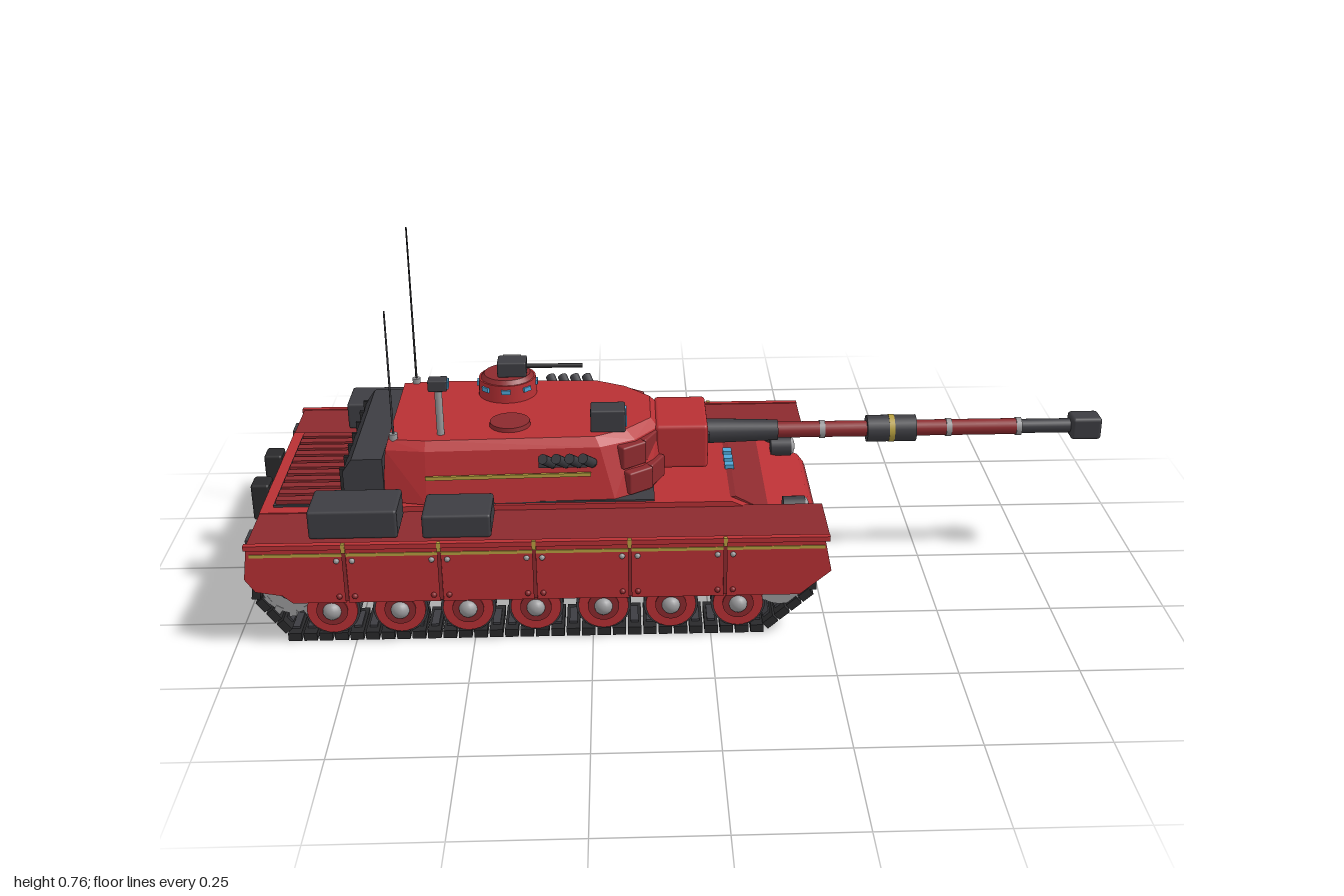
import * as THREE from 'three';
import { ConvexGeometry } from 'three/addons/geometries/ConvexGeometry.js';
import { RoundedBoxGeometry } from 'three/addons/geometries/RoundedBoxGeometry.js';

const paint = (name, color) => {
  const m = new THREE.MeshStandardMaterial({ color });
  m.name = name;
  return m;
};

export function createModel() {
  const red = paint('red paint', 0xb83034);
  const darkRed = paint('dark red paint', 0x8c2a2e);
  const charcoal = paint('charcoal', 0x3d3d42);
  const black = paint('black rubber', 0x29292b);
  const grey = paint('grey steel', 0x9a9a9c);
  const glass = paint('blue glass', 0x4fa6d6);
  const gold = paint('gold trim', 0xb8a040);

  const tank = new THREE.Group();
  tank.name = 'tank';
  const sides = [1, -1];

  const add = (name, geo, mat, x = 0, y = 0, z = 0, parent = tank) => {
    const mesh = new THREE.Mesh(geo, mat);
    mesh.name = name;
    mesh.position.set(x, y, z);
    parent.add(mesh);
    return mesh;
  };
  // box given by its lower and upper corners
  const span = (name, mat, x0, x1, y0, y1, z0, z1, r = 0) => {
    const s = [x1 - x0, y1 - y0, Math.abs(z1 - z0)];
    const geo = r ? new RoundedBoxGeometry(...s, 2, r) : new THREE.BoxGeometry(...s);
    return add(name, geo, mat, (x0 + x1) / 2, (y0 + y1) / 2, (z0 + z1) / 2);
  };
  const cylX = (name, mat, x0, x1, r, y, z = 0, r2 = r) =>
    add(name, new THREE.CylinderGeometry(r2, r, x1 - x0, 24).rotateZ(-Math.PI / 2), mat, (x0 + x1) / 2, y, z);
  const cylY = (name, mat, x, z, y0, y1, r, r2 = r) =>
    add(name, new THREE.CylinderGeometry(r2, r, y1 - y0, 24), mat, x, (y0 + y1) / 2, z);
  // side profile extruded across z
  const slab = (name, mat, pts, z0, z1) => {
    const shape = new THREE.Shape(pts.map(p => new THREE.Vector2(...p)));
    const geo = new THREE.ExtrudeGeometry(shape, { depth: z1 - z0, bevelEnabled: false });
    return add(name, geo, mat, 0, 0, z0);
  };

  // hull
  slab('hull', red, [[-0.85, 0.073], [0.13, 0.073], [0.25, 0.148], [0.235, 0.168], [0.05, 0.254],
    [-0.72, 0.254], [-0.74, 0.244], [-0.955, 0.244], [-0.96, 0.15]], -0.207, 0.207);
  slab('glacisPlate', darkRed, [[0.24, 0.152], [0.25, 0.152], [0.06, 0.255], [0.048, 0.254]], -0.185, 0.185);
  for (const z of [-0.036, 0, 0.036]) span('driverPeriscope', glass, 0.045, 0.065, 0.253, 0.263, z - 0.011, z + 0.011);
  for (const s of sides) {
    cylX('headlightShell', charcoal, 0.165, 0.213, 0.023, 0.214, s * 0.157);
    const lens = add('headlight', new THREE.SphereGeometry(0.021, 20, 12), grey, 0.212, 0.214, s * 0.157);
    lens.scale.x = 0.5;
    const hook = add('towHook', new THREE.TorusGeometry(0.018, 0.006, 8, 20), grey, 0.19, 0.1, s * 0.121);
    hook.scale.y = 1.1;
    const rearHook = add('rearHook', new THREE.TorusGeometry(0.016, 0.006, 8, 20), grey, -0.93, 0.115, s * 0.121);
    rearHook.scale.y = 1.1;
    span('exhaust', black, -0.995, -0.955, 0.172, 0.257, s * 0.05, s * 0.1, 0.006);
    span('tailLamp', charcoal, -0.968, -0.95, 0.2, 0.228, s * 0.25, s * 0.3);
  }

  // engine deck grille
  span('grilleBed', charcoal, -0.93, -0.715, 0.24, 0.249, -0.18, 0.18);
  for (let i = 0; i < 11; i++) {
    const z = -0.165 + i * 0.033;
    span('grilleSlat', darkRed, -0.925, -0.72, 0.246, 0.258, z - 0.011, z + 0.011);
  }

  // fenders, skirts and stowage
  const skirtX = [-0.955, -0.757, -0.562, -0.367, -0.17, 0.028];
  for (const s of sides) {
    span('fender', darkRed, -0.955, 0.245, 0.234, 0.242, s * 0.2, s * 0.348);
    span('fenderRail', red, -0.96, 0.245, 0.233, 0.244, s * 0.343, s * 0.356);
    const z0 = s > 0 ? 0.344 : -0.352;
    skirtX.forEach((x, i) => {
      const a = x + 0.002, b = i < 5 ? skirtX[i + 1] - 0.002 : 0;
      let pts = [[a, 0.107], [b, 0.107], [b, 0.236], [a, 0.236]];
      if (i === 0) pts = [[-0.965, 0.165], [-0.945, 0.135], [-0.89, 0.125], [-0.87, 0.107], [b, 0.107], [b, 0.236], [-0.955, 0.236]];
      if (i === 5) pts = [[a, 0.107], [0.185, 0.107], [0.25, 0.162], [0.235, 0.236], [a, 0.236]];
      slab('skirtPanel', red, pts, z0, z0 + 0.008);
      if (i) {
        span('skirtJoint', darkRed, x - 0.004, x + 0.004, 0.112, 0.23, s * 0.343, s * 0.355);
        span('skirtClip', gold, x - 0.004, x + 0.004, 0.226, 0.2455, s * 0.35, s * 0.358);
        for (const dx of [-0.016, 0.016]) {
          add('skirtBolt', new THREE.SphereGeometry(0.006, 10, 8), grey, x + dx, 0.205, s * 0.352);
          add('skirtBolt', new THREE.SphereGeometry(0.006, 10, 8), darkRed, x + dx, 0.122, s * 0.353);
        }
      }
    });
    span('skirtStripe', gold, -0.95, 0.235, 0.216, 0.223, s * 0.35, s * 0.354);
    span('largeStowageBox', charcoal, -0.83, -0.647, 0.244, 0.307, s * 0.225, s * 0.331, 0.006);
    span('smallStowageBox', charcoal, -0.597, -0.455, 0.242, 0.294, s * 0.225, s * 0.331, 0.006);
  }

  // running gear
  const loop = new THREE.CurvePath();
  const corners = [[-0.88, 0.009], [0.11, 0.009], [0.215, 0.1], [0.212, 0.165], [0.16, 0.2],
    [-0.89, 0.2], [-0.945, 0.165], [-0.952, 0.105]].map(p => new THREE.Vector3(p[0], p[1], 0));
  corners.forEach((p, i) => loop.add(new THREE.LineCurve3(p, corners[(i + 1) % corners.length])));
  const links = 78, step = loop.getLength() / links;
  const linkGeo = new THREE.BoxGeometry(step * 0.86, 0.018, 0.102);
  const padGeo = new THREE.BoxGeometry(step * 0.5, 0.012, 0.06);
  const cylZ = (name, mat, x, y, z, r, w, n = 28) =>
    add(name, new THREE.CylinderGeometry(r, r, w, n).rotateX(Math.PI / 2), mat, x, y, z);
  for (const s of sides) {
    const zc = s * 0.274;
    for (let i = 0; i < links; i++) {
      const p = loop.getPointAt(i / links), t = loop.getTangentAt(i / links);
      const turn = Math.atan2(t.y, t.x);
      add('trackLink', linkGeo, black, p.x, p.y, zc).rotation.z = turn;
      add('trackGuide', padGeo, charcoal, p.x - t.y * 0.008, p.y + t.x * 0.008, zc).rotation.z = turn;
    }
    for (let i = 0; i < 7; i++) {
      const x = -0.797 + i * 0.1425;
      cylZ('roadWheelTire', charcoal, x, 0.071, zc, 0.058, 0.086);
      cylZ('roadWheelDisc', red, x, 0.071, s * 0.316, 0.053, 0.012);
      cylZ('roadWheelRim', darkRed, x, 0.071, s * 0.3225, 0.033, 0.006);
      add('wheelHub', new THREE.SphereGeometry(0.02, 16, 12), grey, x, 0.071, s * 0.322);
    }
    for (const [x, name] of [[-0.88, 'driveSprocket'], [0.148, 'idlerWheel']]) {
      cylZ(name, grey, x, 0.125, zc, 0.06, 0.088);
      cylZ(name + 'Hub', charcoal, x, 0.125, zc, 0.025, 0.1);
    }
    for (let i = 0; i < 12; i++) {
      const a = i * Math.PI / 6;
      const tooth = add('sprocketTooth', new THREE.BoxGeometry(0.016, 0.016, 0.09), grey,
        -0.88 + Math.cos(a) * 0.06, 0.125 + Math.sin(a) * 0.06, zc);
      tooth.rotation.z = a;
    }
  }

  // turret body from three stacked outlines
  const outline = [
    [0.257, [[-0.695, 0.185], [-0.6, 0.207], [-0.2, 0.195], [-0.125, 0.15], [-0.09, 0.075]]],
    [0.37, [[-0.685, 0.17], [-0.6, 0.182], [-0.23, 0.172], [-0.155, 0.135], [-0.105, 0.07]]],
    [0.388, [[-0.68, 0.155], [-0.6, 0.165], [-0.24, 0.155], [-0.175, 0.12], [-0.12, 0.06]]],
  ];
  const pts = outline.flatMap(([y, row]) => row.flatMap(([x, z]) => sides.map(s => new THREE.Vector3(x, y, s * z))));
  add('turret', new ConvexGeometry(pts), red);
  span('turretRing', charcoal, -0.6, -0.115, 0.245, 0.258, -0.2, 0.2);

  // cheek armour, stripes and smoke launchers
  for (const s of sides) {
    for (const [x, z, yaw, w] of [[-0.117, 0.108, 1.1, 0.062], [-0.15, 0.155, 0.62, 0.062]]) {
      for (const y of [0.286, 0.341]) {
        const block = add('cheekBlock', new RoundedBoxGeometry(w, 0.051, 0.03, 2, 0.004), darkRed, x - (y - 0.286) * 0.25, y, s * (z - (y - 0.286) * 0.2));
        block.rotation.y = s * yaw;
      }
    }
    const stripe = span('turretStripe', gold, -0.6, -0.25, 0.312, 0.32, s * 0.1925, s * 0.198);
    stripe.rotation.y = s * 0.027;
    span('launcherRail', charcoal, -0.36, -0.24, 0.335, 0.345, s * 0.17, s * 0.196);
    for (let i = 0; i < 4; i++) {
      const tube = add('smokeLauncher', new THREE.CylinderGeometry(0.011, 0.011, 0.056, 14), charcoal,
        -0.34 + i * 0.028, 0.355, s * 0.206);
      tube.rotation.set(s * 0.95, 0, 0.4 - 0.8);
      tube.rotation.z = 0.35;
    }
  }

  // bustle rack
  slab('bustleRack', charcoal, [[-0.775, 0.25], [-0.69, 0.25], [-0.69, 0.358], [-0.755, 0.358], [-0.775, 0.33]], -0.19, 0.19);
  for (let i = 0; i < 7; i++) {
    const z = -0.18 + i * 0.06;
    span('rackBar', black, -0.782, -0.77, 0.252, 0.335, z - 0.005, z + 0.005);
  }

  // mantlet and gun
  const bore = 0.327;
  span('mantlet', red, -0.11, 0.005, 0.275, 0.377, -0.084, 0.084, 0.008);
  span('coaxialPort', charcoal, 0, 0.01, 0.332, 0.348, 0.052, 0.068);
  cylX('gunCollar', charcoal, 0.003, 0.165, 0.028, bore, 0, 0.023);
  cylX('gunTube', darkRed, 0.16, 0.71, 0.018, bore);
  cylX('boreEvacuator', charcoal, 0.365, 0.475, 0.03, bore);
  cylX('evacuatorBand', gold, 0.414, 0.426, 0.0312, bore);
  for (const x of [0.265, 0.55, 0.708]) cylX('gunBand', grey, x - 0.006, x + 0.006, 0.0205, bore);
  cylX('gunEnd', charcoal, 0.71, 0.83, 0.016, bore);
  span('muzzleBrake', charcoal, 0.825, 0.893, bore - 0.026, bore + 0.026, -0.026, 0.026, 0.008);

  // commander cupola with machine gun
  const cx = -0.44, cz = -0.095;
  cylY('cupola', red, cx, cz, 0.386, 0.428, 0.066, 0.064);
  cylY('cupolaLid', darkRed, cx, cz, 0.428, 0.437, 0.06, 0.052);
  for (let i = 0; i < 8; i++) {
    const a = i * Math.PI / 4;
    const block = add('visionBlock', new THREE.BoxGeometry(0.008, 0.01, 0.02), glass,
      cx + Math.cos(a) * 0.064, 0.414, cz - Math.sin(a) * 0.064);
    block.rotation.y = a;
  }
  span('machineGun', charcoal, -0.46, -0.395, 0.437, 0.472, -0.11, -0.06, 0.004);
  span('ammoBox', grey, -0.45, -0.41, 0.437, 0.465, -0.131, -0.11);
  cylX('machineGunBarrel', black, -0.4, -0.27, 0.005, 0.455, -0.085);

  // loader hatch, gunner sight, mast and antennas
  cylY('loaderHatch', darkRed, -0.425, 0.085, 0.386, 0.397, 0.045, 0.043);
  span('gunnerSight', charcoal, -0.25, -0.175, 0.386, 0.437, 0.081, 0.134, 0.004);
  span('sightWindow', glass, -0.178, -0.172, 0.397, 0.43, 0.089, 0.126);
  cylY('sensorMast', grey, -0.57, 0.13, 0.386, 0.495, 0.008);
  span('sensorHead', charcoal, -0.59, -0.55, 0.491, 0.516, 0.115, 0.145, 0.003);
  span('sensorWindow', glass, -0.552, -0.547, 0.495, 0.512, 0.119, 0.141);
  for (const [x, z, top, mat] of [[-0.668, 0.15, 0.675, charcoal], [-0.653, -0.157, 0.76, black]]) {
    cylY('antennaBase', grey, x, z, 0.375, 0.4, 0.009);
    cylY('antenna', mat, x, z, 0.39, top, 0.0025, 0.0018);
  }
  return tank;
}
